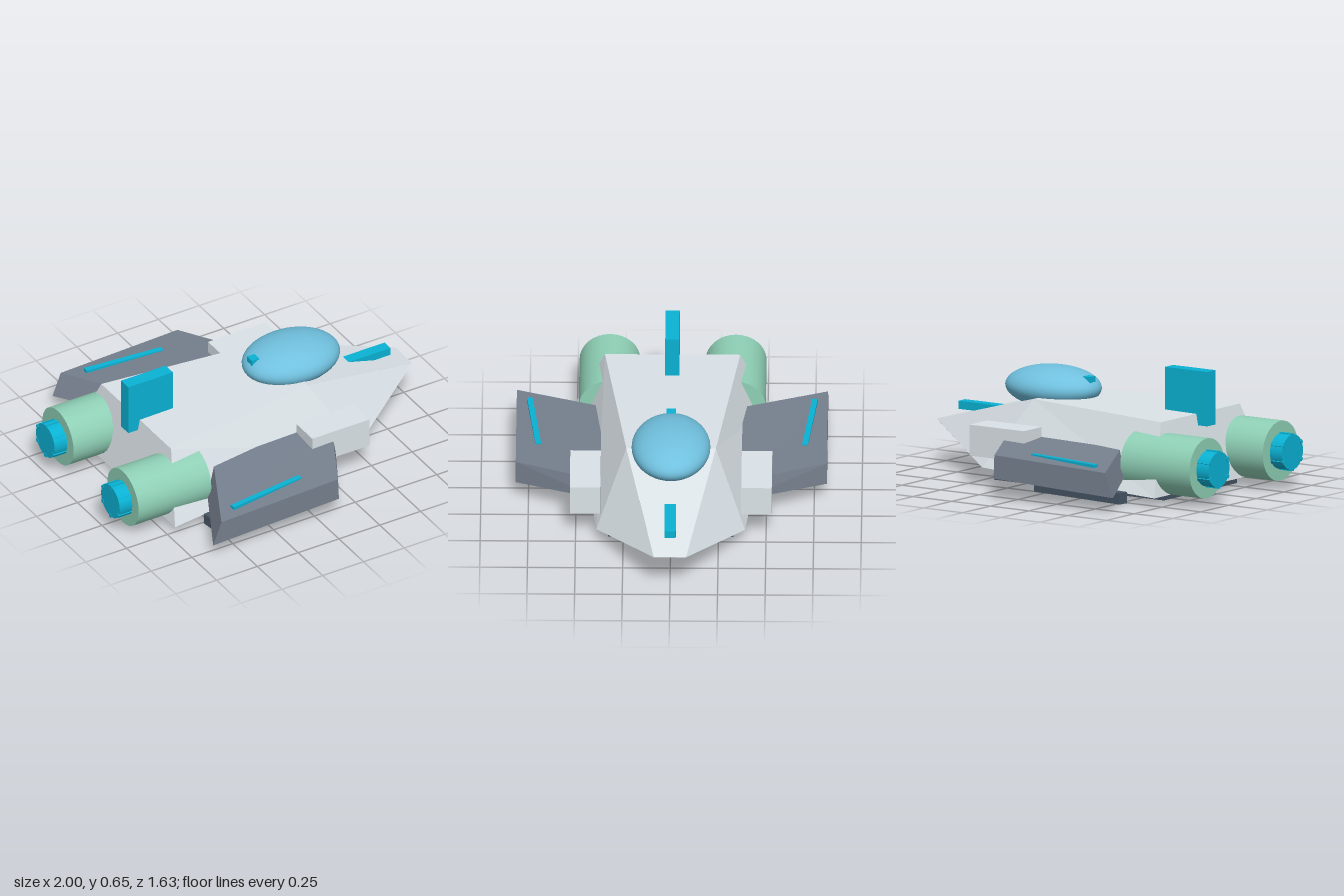
import * as THREE from 'three';

const paint = (color, flatShading = true) => new THREE.MeshStandardMaterial({ color, flatShading });

// Skin through matching cross-sections (each a loop of [x, y, z]) with both ends capped.
function loft(sections, flip = false) {
  const pos = [];
  const n = sections[0].length;
  const tri = (a, b, c) => pos.push(...a, ...(flip ? c : b), ...(flip ? b : c));
  for (let s = 0; s < sections.length - 1; s++) {
    const p = sections[s], q = sections[s + 1];
    for (let i = 0; i < n; i++) {
      const j = (i + 1) % n;
      tri(p[i], p[j], q[j]);
      tri(p[i], q[j], q[i]);
    }
  }
  const first = sections[0], last = sections[sections.length - 1];
  for (let i = 1; i < n - 1; i++) {
    tri(first[0], first[i + 1], first[i]);
    tri(last[0], last[i], last[i + 1]);
  }
  const g = new THREE.BufferGeometry();
  g.setAttribute('position', new THREE.Float32BufferAttribute(pos, 3));
  g.computeVertexNormals();
  return g;
}

export function createModel() {
  const ship = new THREE.Group();
  ship.name = 'spaceship';
  const hullMat = paint(0xdbe3e8);
  const wingMat = paint(0x76808e);
  const bellyMat = paint(0x465565);
  const accentMat = paint(0x0ab2d4);
  const nozzleMat = paint(0x0ab2d4, false);
  const engineMat = paint(0x8fd0b6, false);
  const glassMat = paint(0x70c0de, false);

  const add = (name, geometry, material, parent = ship) => {
    const mesh = new THREE.Mesh(geometry, material);
    mesh.name = name;
    parent.add(mesh);
    return mesh;
  };
  // Box given by its extents on each axis
  const box = (name, [x0, x1], [y0, y1], [z0, z1], material) => {
    const mesh = add(name, new THREE.BoxGeometry(x1 - x0, y1 - y0, z1 - z0), material);
    mesh.position.set((x0 + x1) / 2, (y0 + y1) / 2, (z0 + z1) / 2);
  };

  // Hull: slanted trapezoid sections from the tail to a flat nose edge
  const hullSection = (xb, yb, zb, xt, yt, zt) =>
    [[xb, yb, zb], [xb, yb, -zb], [xt, yt, -zt], [xt, yt, zt]];
  add('hull', loft([
    hullSection(-0.715, 0.045, 0.52, -0.64, 0.42, 0.355),
    hullSection(0.49, 0.07, 0.39, 0.27, 0.435, 0.235),
    hullSection(1, 0.235, 0.085, 1, 0.236, 0.085),
  ]), hullMat);
  box('bellyPlate', [-0.64, 0.455], [0, 0.065], [-0.33, 0.33], bellyMat);

  // Canopy and centreline details
  const canopy = add('canopy', new THREE.SphereGeometry(1, 40, 24), glassMat);
  canopy.scale.set(0.275, 0.112, 0.207);
  canopy.position.set(0.308, 0.469, 0);
  box('canopyLatch', [0.055, 0.1], [0.5, 0.543], [-0.025, 0.025], accentMat);
  box('noseBar', [0.63, 0.9], [0.29, 0.333], [-0.03, 0.03], accentMat);
  box('tailFin', [-0.71, -0.437], [0.36, 0.65], [-0.037, 0.037], accentMat);

  for (const s of [1, -1]) {
    const side = s > 0 ? 'right' : 'left';

    // Swept wing, drooping toward the tip
    const wingSection = (z, rb, fb, ft, rt) => [rb, fb, ft, rt].map(([x, y]) => [x, y, s * z]);
    add(side + 'Wing', loft([
      wingSection(0.37, [-0.435, 0.14], [0.35, 0.165], [0.33, 0.272], [-0.39, 0.257]),
      wingSection(0.817, [-0.66, 0.083], [0.11, 0.11], [0.105, 0.235], [-0.61, 0.212]),
    ], s < 0), wingMat);

    // Strip on the wing, sinking in toward its front
    const strip = add(side + 'WingStrip', new THREE.BoxGeometry(0.445, 0.03, 0.03), accentMat);
    strip.position.set(-0.28, 0.225, s * 0.724);
    strip.rotation.set(0, s * 0.11, 0.015);

    // Block at the wing root
    box(side + 'WingBlock', [0.12, 0.47], [0.155, 0.32], s > 0 ? [0.37, 0.53] : [-0.53, -0.37], hullMat);

    // Splayed landing skid
    const skid = add(side + 'Skid', new THREE.BoxGeometry(0.6, 0.06, 0.06), bellyMat);
    skid.position.set(-0.23, 0.03, s * 0.507);
    skid.rotation.y = s * 0.108;

    // Engine pod with ribbed nozzle
    const engine = new THREE.Group();
    engine.name = side + 'Engine';
    engine.position.set(0, 0.2, s * 0.331);
    ship.add(engine);
    const pod = add('enginePod', new THREE.CylinderGeometry(0.16, 0.16, 0.445, 32), engineMat, engine);
    pod.rotation.z = Math.PI / 2;
    pod.position.x = -0.6975;
    const nozzle = add('nozzle', new THREE.CylinderGeometry(0.095, 0.095, 0.08, 32), nozzleMat, engine);
    nozzle.rotation.z = Math.PI / 2;
    nozzle.position.x = -0.957;
    for (let i = 0; i < 6; i++) {
      const a = (i / 6) * Math.PI * 2;
      const rib = add('nozzleRib', new THREE.BoxGeometry(0.085, 0.02, 0.02), accentMat, engine);
      rib.position.set(-0.9575, Math.cos(a) * 0.09, Math.sin(a) * 0.09);
      rib.rotation.x = a;
    }
  }
  return ship;
}
